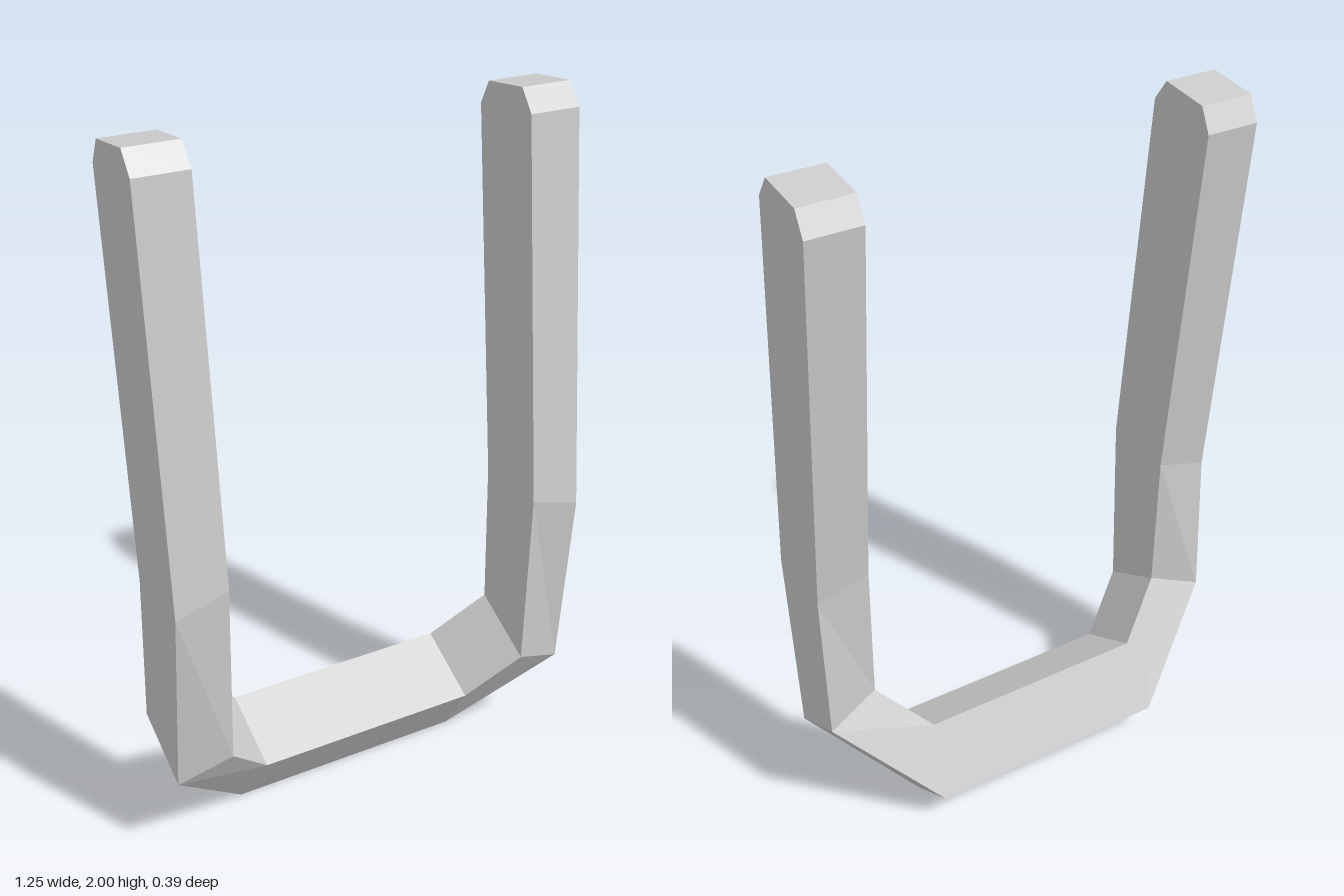
import * as THREE from 'three';

// Cross-sections of one half, from the tip of the arm down to the crossbar.
// Corner order: outer front, outer back, inner back, inner front.
const legSection = (yf, zf, yb, zb, rise = 0) => [
  [0.627, yf, zf], [0.627, yb, zb], [0.475, yb + rise, zb], [0.475, yf + rise, zf],
];
const half = [
  legSection(2.0, 0.045, 1.985, -0.105), // chamfered tip
  legSection(1.94, 0.09, 1.92, -0.138), // base of the chamfer
  legSection(0.82, 0.197, 0.82, -0.03, 0.045), // bend in the arm
  [[0.627, 0.27, 0.148], [0.627, 0.38, -0.05], [0.475, 0.44, -0.02], [0.475, 0.33, 0.18]], // lower corner
  [[0.358, 0.0, -0.034], [0.358, 0.1, -0.197], [0.335, 0.3, -0.1], [0.335, 0.19, 0.1]], // end of crossbar
];

// Skins a row of four-cornered sections and closes both ends.
function loft(sections) {
  const points = [];
  const quad = (a, b, c, d) => points.push(...a, ...b, ...c, ...a, ...c, ...d);
  for (let i = 0; i < sections.length - 1; i++) {
    const s = sections[i], t = sections[i + 1];
    for (let j = 0; j < 4; j++) {
      const k = (j + 1) % 4;
      quad(s[j], t[j], t[k], s[k]);
    }
  }
  quad(...sections[0]);
  quad(...[...sections[sections.length - 1]].reverse());
  const geometry = new THREE.BufferGeometry();
  geometry.setAttribute('position', new THREE.Float32BufferAttribute(points, 3));
  geometry.computeVertexNormals();
  return geometry;
}

export function createModel() {
  const group = new THREE.Group();
  group.name = 'bracket';
  // The other half mirrors the first, making one continuous bent bar
  const mirrored = half.map((s) => s.map(([x, y, z]) => [-x, y, z])).reverse();
  const bar = new THREE.Mesh(
    loft([...half, ...mirrored]),
    new THREE.MeshStandardMaterial({ color: 0xcccccc, flatShading: true }),
  );
  bar.name = 'bentBar';
  group.add(bar);
  return group;
}
